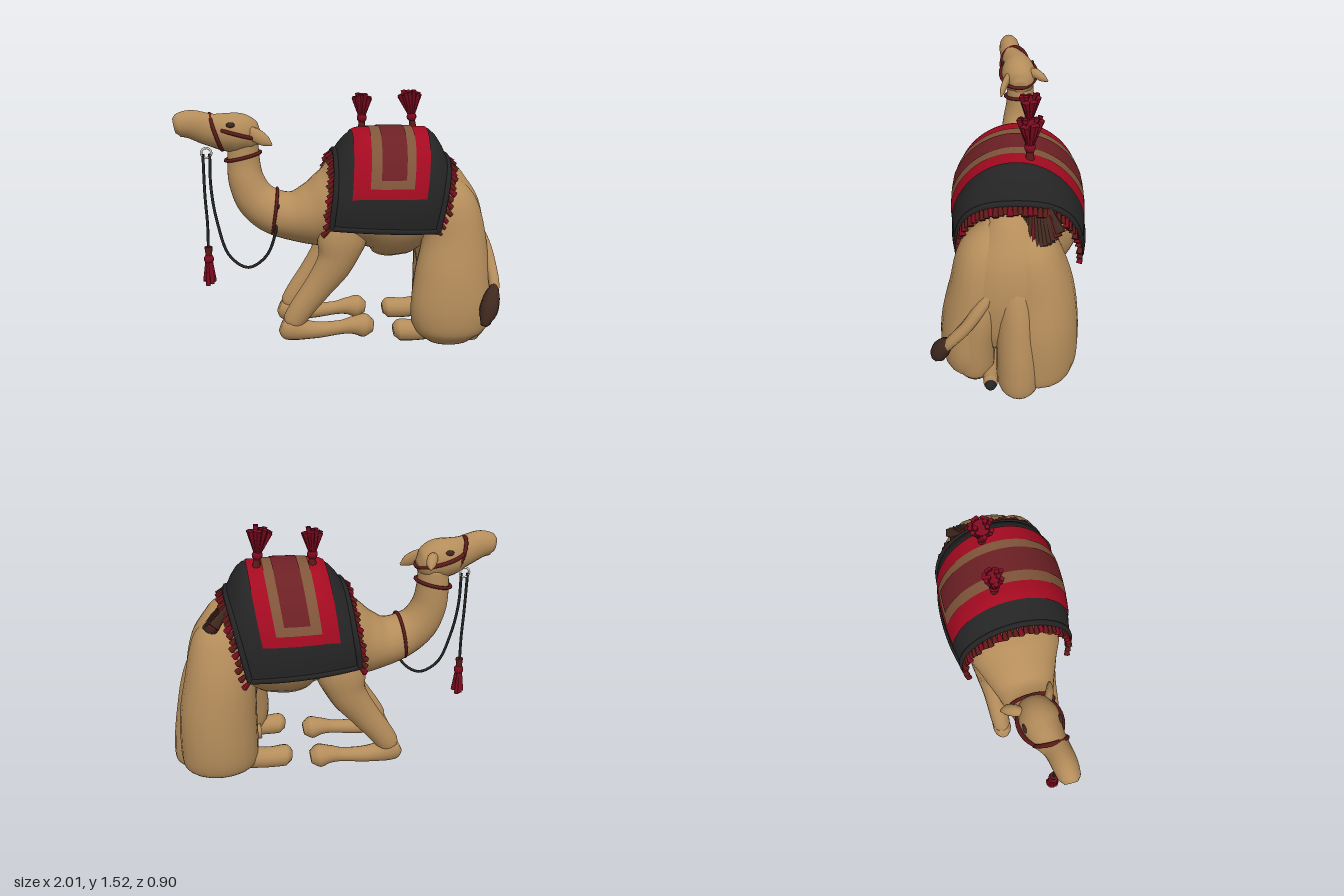
import * as THREE from 'three';

const mat = (name, color, side = THREE.FrontSide) => {
  const m = new THREE.MeshStandardMaterial({ color, side });
  m.name = name;
  return m;
};

export function createModel() {
  const root = new THREE.Group();
  root.name = 'kneelingCamel';
  const M = {
    tan: mat('tanHide', 0xb58d5b),
    black: mat('blackCloth', 0x242424, THREE.DoubleSide),
    red: mat('redCloth', 0xa30a20, THREE.DoubleSide),
    brown: mat('brownStripe', 0x80553a, THREE.DoubleSide),
    maroon: mat('maroonStripe', 0x6c2024, THREE.DoubleSide),
    hair: mat('darkHair', 0x40291f),
    fringe: mat('fringeRed', 0x5e1a18),
    tassel: mat('tasselCrimson', 0x800a20),
    pale: mat('paleRing', 0xe0ddd6),
  };
  const add = (name, geo, material, parent = root) => {
    const m = new THREE.Mesh(geo, material);
    m.name = name;
    parent.add(m);
    return m;
  };

  // Smooth closed skin through elliptical sections [x, y, z, half height, half width]
  const loft = (secs, seg = 20, sub = 5) => {
    const path = new THREE.CatmullRomCurve3(secs.map(s => new THREE.Vector3(s[0], s[1], s[2])));
    const size = new THREE.CatmullRomCurve3(secs.map(s => new THREE.Vector3(s[3], s[4], 0)), false, 'catmullrom', 0.4);
    const n = (secs.length - 1) * sub, pos = [], idx = [];
    for (let i = 0; i <= n; i++) {
      const t = i / n, p = path.getPoint(t), r = size.getPoint(t), tan = path.getTangent(t);
      const side = new THREE.Vector3(0, 0, 1).addScaledVector(tan, -tan.z).normalize();
      const up = tan.clone().cross(side);
      for (let j = 0; j < seg; j++) {
        const a = j / seg * Math.PI * 2;
        const v = p.clone().addScaledVector(side, Math.cos(a) * r.y).addScaledVector(up, Math.sin(a) * r.x);
        pos.push(v.x, v.y, v.z);
        if (i < n) {
          const k = (j + 1) % seg, A = i * seg + j, B = i * seg + k;
          idx.push(A, B, A + seg, B, B + seg, A + seg);
        }
      }
    }
    const c = pos.length / 3, last = n * seg;
    pos.push(...secs[0].slice(0, 3), ...secs[secs.length - 1].slice(0, 3));
    for (let j = 0; j < seg; j++) {
      const k = (j + 1) % seg;
      idx.push(c, k, j, c + 1, last + j, last + k);
    }
    const g = new THREE.BufferGeometry();
    g.setAttribute('position', new THREE.Float32BufferAttribute(pos, 3));
    g.setIndex(idx);
    g.computeVertexNormals();
    return g;
  };

  // Neck, hump and belly
  add('neckAndBody', loft([
    [-.6, 1.22, -.1, .09, .085], [-.6, 1.08, -.1, .1, .09], [-.585, .97, -.09, .11, .1],
    [-.53, .86, -.08, .125, .11], [-.44, .79, -.07, .138, .13], [-.33, .755, -.07, .15, .17],
    [-.2, .76, -.07, .195, .22], [-.05, .8, -.07, .255, .285], [.12, .86, -.07, .345, .335],
    [.3, .865, -.07, .38, .35], [.46, .845, -.06, .35, .33], [.6, .82, -.04, .25, .22],
    [.7, .8, -.03, .14, .13]], 28), M.tan);
  // Rump and folded hind legs
  add('rump', loft([[.59, 1.1, -.02, .05, .05], [.61, 1.0, -.02, .13, .14], [.645, .82, -.03, .205, .26],
    [.67, .62, -.03, .22, .31], [.68, .42, -.01, .2, .28], [.67, .28, .02, .17, .2]], 24), M.tan);
  add('nearHaunch', loft([[.61, 1.0, .04, .08, .07], [.64, .83, .11, .17, .155], [.66, .62, .15, .2, .17],
    [.645, .4, .195, .235, .175], [.635, .22, .225, .25, .165], [.63, .09, .225, .225, .15], [.63, .01, .22, .13, .085]]), M.tan);
  add('farHaunch', loft([[.63, 1.0, -.08, .08, .08], [.66, .85, -.12, .18, .165], [.69, .62, -.16, .21, .205],
    [.715, .4, -.17, .23, .225], [.72, .2, -.17, .235, .23], [.72, .07, -.17, .225, .205], [.72, .01, -.17, .14, .11]]), M.tan);
  add('nearHock', loft([[.7, .8, .08, .09, .09], [.755, .55, .13, .125, .1], [.765, .3, .18, .125, .11],
    [.765, .1, .19, .11, .11], [.76, .01, .19, .06, .07]]), M.tan);
  add('farHock', loft([[.7, .85, -.03, .1, .09], [.78, .6, -.05, .135, .11], [.82, .38, -.055, .145, .12],
    [.84, .2, -.06, .153, .125], [.845, .06, -.06, .153, .122], [.84, .01, -.06, .11, .09]]), M.tan);
  for (const z of [.2, -.2])
    add('hindFoot', loft([[.285, .07, z, .035, .035], [.32, .075, z, .066, .065], [.42, .07, z, .066, .06], [.6, .09, z, .07, .07]], 14), M.tan);
  add('hindShank', loft([[.45, .08, .11, .05, .05], [.7, .07, .1, .04, .04], [.84, .075, .1, .048, .045], [.91, .08, .1, .05, .04]], 12), M.tan);
  add('hindHoof', new THREE.SphereGeometry(.034, 12, 8), M.black).position.set(.908, .065, .1);

  // Kneeling forelegs
  for (const d of [1, -1]) {
    const z = o => -.07 + d * o;
    add('foreThigh', loft([[.03, .8, z(.17), .13, .08], [-.02, .64, z(.175), .15, .1], [-.06, .5, z(.175), .115, .09],
      [-.165, .345, z(.175), .09, .07], [-.26, .22, z(.175), .078, .064], [-.32, .13, z(.175), .068, .058], [-.35, .08, z(.175), .035, .035]], 16), M.tan);
    add('foreShin', loft([[-.394, .105, z(.175), .045, .035], [-.35, .085, z(.175), .08, .06], [-.2, .06, z(.175), .054, .05],
      [-.03, .07, z(.175), .044, .042], [.05, .08, z(.175), .056, .055], [.12, .077, z(.175), .074, .07], [.172, .07, z(.175), .04, .04]], 14), M.tan);
  }

  // Head, ears and eyes
  add('head', loft([[-.998, 1.32, -.03, .046, .035], [-.97, 1.325, -.03, .07, .058], [-.9, 1.327, -.035, .085, .068],
    [-.8, 1.295, -.05, .095, .072], [-.7, 1.275, -.08, .115, .1], [-.62, 1.265, -.09, .12, .11],
    [-.54, 1.24, -.1, .095, .085], [-.5, 1.23, -.1, .04, .04]]), M.tan);
  add('nearEar', loft([[-.57, 1.29, -.03, .03, .02], [-.52, 1.26, -.005, .042, .022], [-.47, 1.23, .015, .035, .018], [-.43, 1.205, .025, .006, .005]], 10), M.tan);
  add('farEar', loft([[-.58, 1.3, -.16, .03, .025], [-.56, 1.3, -.2, .035, .03], [-.54, 1.28, -.24, .03, .025], [-.53, 1.26, -.275, .005, .005]], 10), M.tan);
  for (const z of [.012, -.182]) {
    const eye = add('eye', new THREE.SphereGeometry(.022, 12, 8), M.hair);
    eye.position.set(-.67, 1.325, z);
    eye.scale.set(1.2, .75, .45);
  }

  // Bridle and collar: tilted elliptical bands
  const vec = p => new THREE.Vector3(...p);
  const tube = (name, pts, r, m, closed = false) =>
    add(name, new THREE.TubeGeometry(new THREE.CatmullRomCurve3(pts.map(vec), closed), 48, r, 7, closed), m);
  const band = (name, [x0, y0], [x1, y1], z, w, r) => {
    const pts = [];
    for (let i = 0; i < 16; i++) {
      const a = i / 16 * Math.PI * 2, c = Math.cos(a) / 2;
      pts.push([(x0 + x1) / 2 + (x1 - x0) * c, (y0 + y1) / 2 + (y1 - y0) * c, z + w * Math.sin(a)]);
    }
    tube(name, pts, r, M.fringe, true);
  };
  band('noseBand', [-.795, 1.385], [-.725, 1.17], -.066, .088, .012);
  band('cheekStrap', [-.785, 1.31], [-.495, 1.23], -.09, .117, .012);
  band('throatStrap', [-.71, 1.1], [-.497, 1.15], -.1, .096, .011);
  band('neckCollar', [-.4, .925], [-.44, .645], -.07, .142, .01);

  // Lead rope with ring
  const ring = add('leadRing', new THREE.TorusGeometry(.03, .007, 8, 20), M.pale);
  ring.position.set(-.82, 1.155, -.04);
  tube('hangingRope', [[-.84, 1.15, -.04], [-.838, .9, -.035], [-.83, .72, -.04], [-.832, .54, -.04]], .009, M.black);
  tube('loopedRope', [[-.8, 1.15, -.04], [-.8, .95, -.03], [-.77, .74, -.01], [-.7, .53, .02], [-.59, .46, .045],
    [-.48, .53, .055], [-.42, .68, .06], [-.4, .85, .05]], .009, M.black);

  // Tassel pointing up: cord, knob and splayed strands
  const cone = (a, b, r, sides = 5) => {
    const d = vec(b).sub(vec(a));
    const g = new THREE.CylinderGeometry(r, r * .45, d.length(), sides);
    g.applyQuaternion(new THREE.Quaternion().setFromUnitVectors(new THREE.Vector3(0, 1, 0), d.clone().normalize()));
    return g.translate((a[0] + b[0]) / 2, (a[1] + b[1]) / 2, (a[2] + b[2]) / 2);
  };
  const tassel = (name, p, h, spread, tilt, m) => {
    const g = new THREE.Group();
    g.name = name;
    g.position.set(...p);
    g.rotation.z = tilt;
    root.add(g);
    add('cord', new THREE.CylinderGeometry(.016, .025, h * .35, 8), M.fringe, g).position.y = h * .15;
    add('knob', new THREE.SphereGeometry(.031, 10, 8), m, g).position.y = h * .3;
    add('core', new THREE.CylinderGeometry(spread * .8, .02, h * .52, 10), m, g).position.y = h * .62;
    for (let i = 0; i < 18; i++) {
      const a = i * 2.4, q = spread * (i % 3 ? 1 : .55), c = Math.cos(a), s = Math.sin(a);
      add('strand', cone([c * .018, h * .38, s * .018], [c * q, h * (.86 + .12 * (i % 4) / 3), s * q], .015), m, g);
    }
  };
  tassel('frontSaddleTassel', [.13, 1.28, -.13], .22, .05, 0, M.tassel);
  tassel('rearSaddleTassel', [.45, 1.28, -.12], .24, .062, .12, M.tassel);
  tassel('ropeTassel', [-.83, .57, -.04], .24, .027, Math.PI, M.tassel);

  // Saddle blanket draped over the hump: u runs along x, s from side to side
  const drape = (u, s, off = 0) => {
    const x0 = -.05 - .05 * s * s, x1 = .63 - .1 * s * s, x = x0 + (x1 - x0) * u;
    const back = Math.max(0, x - .5) ** 2;
    const top = 1.293 - 5.2 * Math.max(0, .11 - x) ** 2 - 10 * back;
    const a = s * 1.763, c = Math.cos(a), W = .383 - .4 * (x - .26) ** 2 - 2.5 * back;
    const y = .83 + ((c > 0 ? top - .83 : .47) + off) * c - .03 * u * s ** 4;
    return [x, y, -.07 + .03 * u * (1 - s * s) + (W + off) * Math.sin(a)];
  };
  const sheet = (name, u0, u1, s1, off, m) => {
    const g = new THREE.PlaneGeometry(1, 1, 20, 48), p = g.attributes.position;
    for (let i = 0; i < p.count; i++)
      p.setXYZ(i, ...drape(u0 + (u1 - u0) * (p.getX(i) + .5), -p.getY(i) * 2 * s1, off));
    g.computeVertexNormals();
    add(name, g, m);
  };
  sheet('blanketBorder', 0, 1, 1, 0, M.black);
  sheet('blanketRed', .15, .82, .78, .006, M.red);
  sheet('blanketBrown', .3, .69, .71, .011, M.brown);
  sheet('blanketMaroon', .39, .61, .65, .016, M.maroon);
  for (const s of [-1, 1])
    tube('blanketHem', [0, .25, .5, .75, 1].map(u => drape(u, s)), .016, M.black);
  for (const u of [0, 1]) {
    tube('blanketEdge', Array.from({ length: 17 }, (_, i) => drape(u, i / 8 - 1)), .018, M.black);
    for (let i = 0; i <= 38; i++) {
      const s = i / 19 - 1, p = drape(u, s), k = .035 + .015 * (i % 3) / 2;
      const q = [p[0] + (u ? k : -k), p[1] - .045, p[2] - s * .015];
      add('fringeTuft', cone(p, q, .02), i % 4 ? M.fringe : M.tassel);
    }
  }

  // Drooping tuft behind the blanket
  for (let i = 0; i < 13; i++) {
    const t = i / 12 - .5;
    const tip = [.75 - t * t * .15, .93 + t * t * .25, -.155 + t * .23];
    add('rearTuft', cone([.62, 1.09, -.145 + t * .14], tip, .036), i % 6 === 1 ? M.fringe : M.hair);
  }

  // Tail and its dark tip
  add('tail', loft([[.8, .74, .05, .03, .03], [.855, .6, .15, .035, .035], [.875, .48, .23, .034, .034], [.875, .38, .31, .032, .032], [.86, .31, .35, .026, .026]], 12), M.tan);
  add('tailTip', loft([[.875, .385, .32, .02, .02], [.85, .32, .355, .05, .045], [.82, .24, .39, .056, .05], [.785, .165, .425, .02, .015]], 9, 3), M.hair);
  return root;
}
